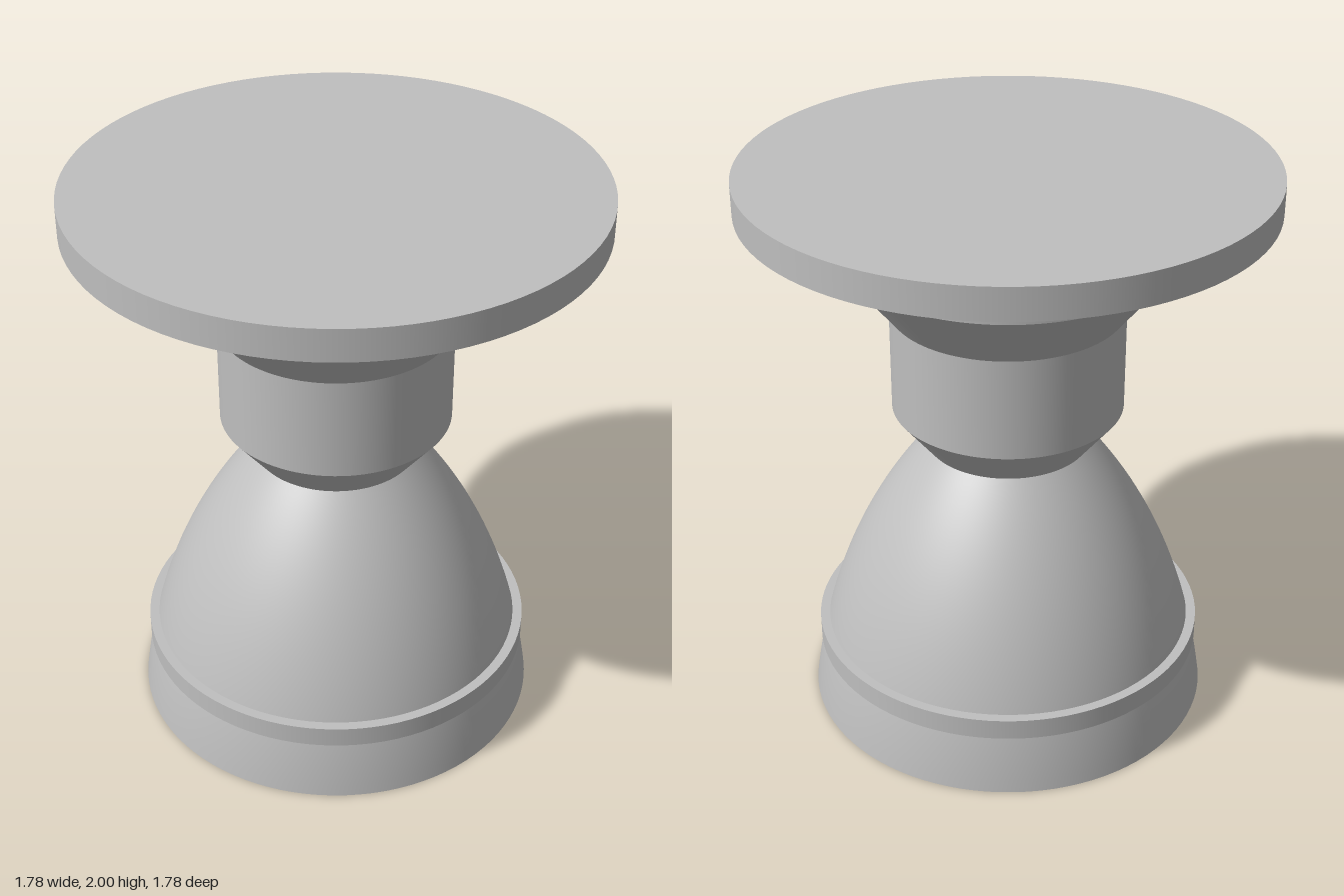
import * as THREE from 'three';

const SEGMENTS = 96;

export function createModel() {
  const model = new THREE.Group();
  const metal = new THREE.MeshStandardMaterial({ color: 0xbfbfbf });
  metal.name = 'light grey metal';

  const add = (name, geometry) => {
    const mesh = new THREE.Mesh(geometry, metal);
    mesh.name = name;
    model.add(mesh);
    return mesh;
  };

  // Round section between two heights; sides are separate so edges stay sharp
  const section = (name, rBottom, rTop, y0, y1, open = true) => {
    const geometry = new THREE.CylinderGeometry(rTop, rBottom, y1 - y0, SEGMENTS, 1, open);
    add(name, geometry.translate(0, (y0 + y1) / 2, 0));
  };

  // Flat ring, facing up or down
  const flatRing = (name, inner, outer, y, up) => {
    const geometry = new THREE.RingGeometry(inner, outer, SEGMENTS);
    add(name, geometry.rotateX(up ? -Math.PI / 2 : Math.PI / 2).translate(0, y, 0));
  };

  // Mounting plate and stepped body
  section('mountingPlate', 0.89, 0.89, 1.89, 2, false);
  section('collar', 0.57, 0.57, 1.72, 1.89);
  section('upperTaper', 0.4, 0.57, 1.505, 1.72);
  section('chamber', 0.4, 0.4, 1.145, 1.505);
  section('throatTaper', 0.285, 0.4, 1, 1.145);

  // Curved bell: outer skin, inner skin and lip
  const bellCurve = (rBottom, rControl, rTop, yTop) => new THREE.QuadraticBezierCurve(
    new THREE.Vector2(rBottom, 0),
    new THREE.Vector2(rControl, 0.59),
    new THREE.Vector2(rTop, yTop),
  ).getPoints(28);
  add('bellOuter', new THREE.LatheGeometry(bellCurve(0.713, 0.632, 0.285, 1), SEGMENTS));
  add('bellInner', new THREE.LatheGeometry(bellCurve(0.68, 0.6, 0.25, 0.985).reverse(), SEGMENTS));
  flatRing('bellLip', 0.68, 0.713, 0, false);

  // Closed throat at the top of the bell's inside
  const throat = new THREE.CircleGeometry(0.25, SEGMENTS);
  add('throatCap', throat.rotateX(Math.PI / 2).translate(0, 0.985, 0));

  // Raised band around the bell
  section('bellBand', 0.688, 0.688, 0.215, 0.29);
  flatRing('bandTop', 0.64, 0.688, 0.29, true);
  flatRing('bandUnderside', 0.655, 0.688, 0.215, false);

  return model;
}
